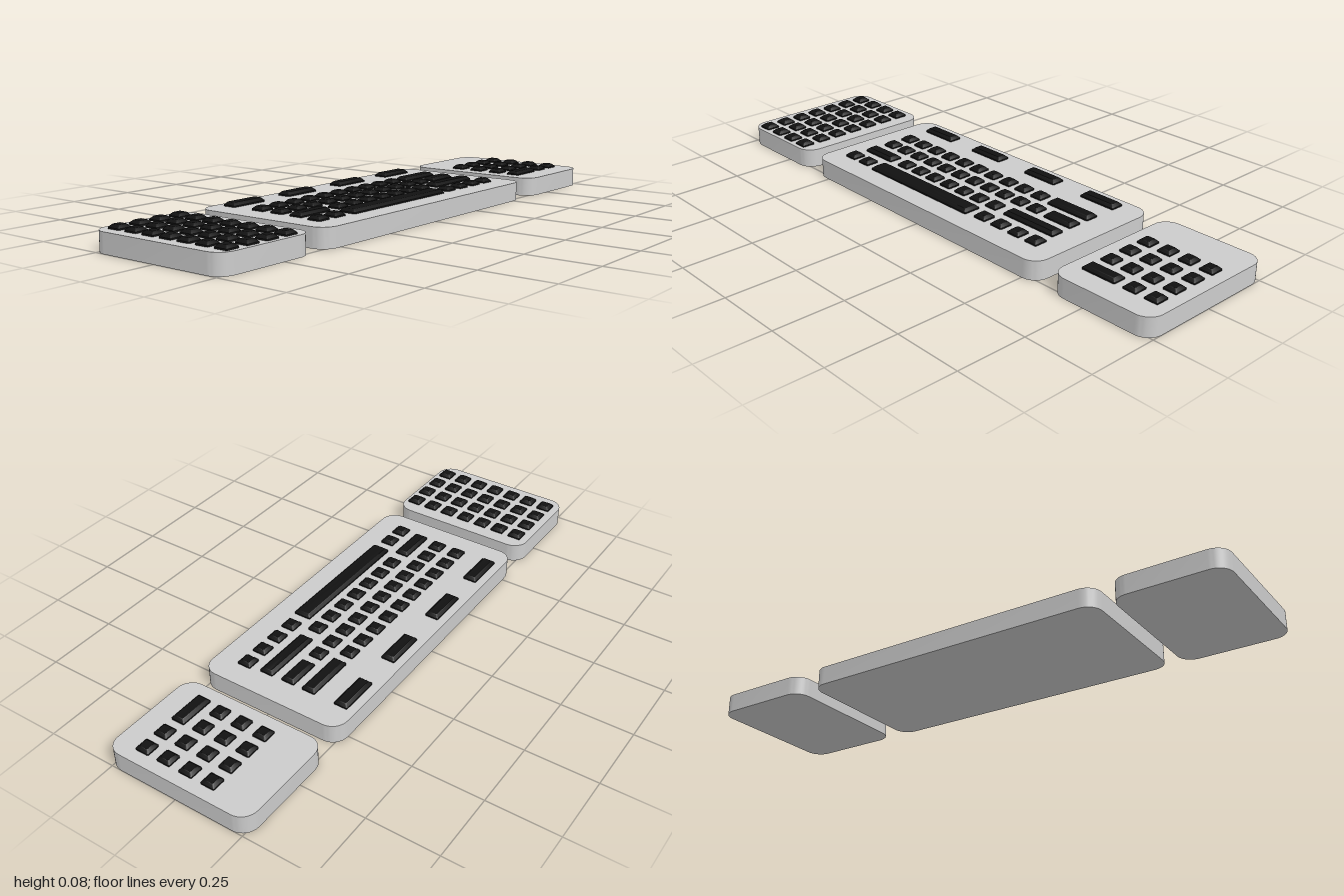
import * as THREE from 'three';
import { toCreasedNormals } from 'three/addons/utils/BufferGeometryUtils.js';

const caseMaterial = new THREE.MeshStandardMaterial({ color: 0xcccccc });
const keyMaterial = new THREE.MeshStandardMaterial({ color: 0x111111 });
const CASE_TOP = 0.067;
const KEY = 0.05;

// Counter-clockwise outline of a rounded rectangle, as [x, z] seen from above
function roundedOutline(w, d, r, steps) {
  const pts = [];
  for (let c = 0; c < 4; c++) {
    const cx = (c === 0 || c === 3 ? 1 : -1) * (w / 2 - r);
    const cy = (c < 2 ? 1 : -1) * (d / 2 - r);
    for (let i = 0; i <= steps; i++) {
      const a = (c + i / steps) * Math.PI / 2;
      pts.push([cx + r * Math.cos(a), -(cy + r * Math.sin(a))]);
    }
  }
  return pts;
}

// Closed solid through rounded rectangles; levels are [inset, y], centreY dishes the top
function loft(w, d, r, steps, levels, centreY) {
  const pos = [], index = [];
  for (const [inset, y] of levels) {
    for (const [x, z] of roundedOutline(w - 2 * inset, d - 2 * inset, r, steps)) pos.push(x, y, z);
  }
  const n = 4 * (steps + 1), last = (levels.length - 1) * n;
  const bottom = pos.length / 3, top = bottom + 1;
  pos.push(0, levels[0][1], 0, 0, centreY, 0);
  for (let i = 0; i < n; i++) {
    const j = (i + 1) % n;
    for (let k = 0; k < last; k += n) {
      index.push(k + i, k + j, k + n + j, k + i, k + n + j, k + n + i);
    }
    index.push(bottom, j, i, top, last + i, last + j);
  }
  const geometry = new THREE.BufferGeometry();
  geometry.setAttribute('position', new THREE.Float32BufferAttribute(pos, 3));
  geometry.setIndex(index);
  return toCreasedNormals(geometry, 0.5);
}

export function createModel() {
  const model = new THREE.Group();

  function section(name, x0, x1) {
    const group = new THREE.Group();
    group.name = name;
    const mesh = new THREE.Mesh(
      loft(x1 - x0, 0.536, 0.055, 10, [[0, 0], [0, CASE_TOP]], CASE_TOP), caseMaterial);
    mesh.name = name + 'Case';
    mesh.position.x = (x0 + x1) / 2;
    group.add(mesh);
    model.add(group);
    return group;
  }

  // Keycap: upright skirt, sloped shoulders and a shallow dish
  const cache = {};
  function key(group, name, x, z, w = KEY, d = KEY) {
    const id = w.toFixed(3) + '_' + d.toFixed(3);
    cache[id] ??= loft(w, d, 0.004, 3,
      [[0, -0.002], [0, 0.005], [0.003, 0.008], [0.008, 0.013], [0.010, 0.0145]], 0.013);
    const mesh = new THREE.Mesh(cache[id], keyMaterial);
    mesh.name = name;
    mesh.position.set(x, CASE_TOP, z);
    group.add(mesh);
  }
  const row = (group, name, x, step, count, z) => {
    for (let i = 0; i < count; i++) key(group, name, x + i * step, z);
  };
  const wide = (group, name, x0, x1, z, d) => key(group, name, (x0 + x1) / 2, z, x1 - x0, d);

  // Function pad: seven rows of four
  const functionPad = section('functionPad', -1, -0.625);
  for (let r = 0; r < 7; r++) row(functionPad, 'functionKey', -0.938, 0.079, 4, -0.214 + r * 0.0737);

  // Main board
  const board = section('mainBoard', -0.572, 0.558);
  for (const x of [-0.417, -0.155, 0.12, 0.39]) key(board, 'controlKey', x, -0.212, 0.145, KEY);
  row(board, 'numberKey', -0.463, 0.0767, 10, -0.088);
  wide(board, 'backspaceKey', 0.283, 0.463, -0.088);
  row(board, 'upperLetterKey', -0.463, 0.0752, 11, -0.007);
  wide(board, 'enterKey', 0.345, 0.463, -0.007);
  wide(board, 'leftShiftKey', -0.49, -0.346, 0.076);
  row(board, 'lowerLetterKey', -0.281, 0.0767, 7, 0.076);
  wide(board, 'rightShiftKey', 0.243, 0.466, 0.076);
  row(board, 'leftModifierKey', -0.477, 0.077, 2, 0.16);
  wide(board, 'spaceBar', -0.34, 0.158, 0.16, 0.064);
  row(board, 'rightModifierKey', 0.217, 0.078, 4, 0.16);

  // Number pad: three rows of four, then a double-width key and two singles
  const numberPad = section('numberPad', 0.62, 1);
  for (const z of [-0.091, -0.007, 0.078]) row(numberPad, 'padKey', 0.693, 0.0795, 4, z);
  wide(numberPad, 'padWideKey', 0.668, 0.797, 0.161);
  row(numberPad, 'padKey', 0.852, 0.0795, 2, 0.161);

  return model;
}
